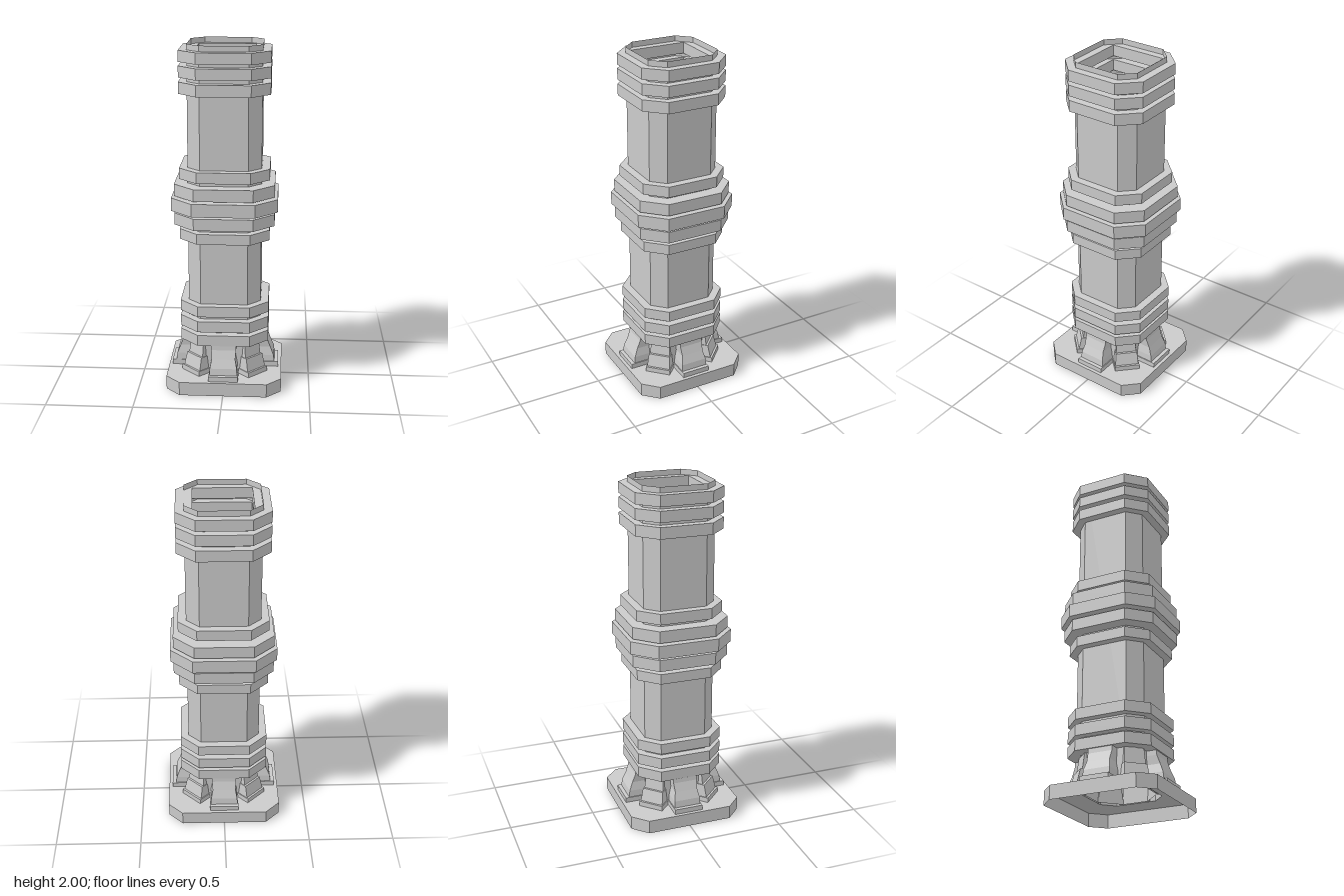
import * as THREE from 'three';

const mat = new THREE.MeshStandardMaterial({ color: 0xcccccc, flatShading: true, side: THREE.DoubleSide });

// chamfered square outline: half width h, half length of the flat sides f
const octagon = (h, f) => [[h, -f], [h, f], [f, h], [-f, h], [-h, f], [-h, -f], [-f, -h], [f, -h]];
const square = (h) => [[h, -h], [h, h], [-h, h], [-h, -h]];
const toVectors = (pts) => pts.map(([x, y]) => new THREE.Vector2(x, y));

// open skin through outlines stacked in y; sections are [y, outline]
function loft(sections) {
  const pos = [];
  for (let s = 0; s < sections.length - 1; s++) {
    const [y0, lo] = sections[s], [y1, hi] = sections[s + 1];
    for (let i = 0; i < lo.length; i++) {
      const j = (i + 1) % lo.length;
      const a = [lo[i][0], y0, lo[i][1]], b = [hi[i][0], y1, hi[i][1]];
      const c = [hi[j][0], y1, hi[j][1]], d = [lo[j][0], y0, lo[j][1]];
      pos.push(...a, ...b, ...c, ...a, ...c, ...d);
    }
  }
  const geo = new THREE.BufferGeometry();
  geo.setAttribute('position', new THREE.Float32BufferAttribute(pos, 3));
  geo.computeVertexNormals();
  return geo;
}

function holedShape(outer, inner) {
  const shape = new THREE.Shape(toVectors(outer));
  shape.holes.push(new THREE.Path(toVectors(inner)));
  return shape;
}

// foot block pointing along +x; rows are [y, reach, half width]
const footBlock = (rows) =>
  loft(rows.map(([y, d, w]) => [y, [[d, -w], [d, w], [0.18, w], [0.18, -w]]]));

export function createModel() {
  const group = new THREE.Group();
  const add = (name, geo) => {
    const mesh = new THREE.Mesh(geo, mat);
    mesh.name = name;
    group.add(mesh);
    return mesh;
  };

  // hollow base plate, open below
  add('basePlateSides', loft([[0, octagon(0.335, 0.252)], [0.08, octagon(0.335, 0.252)]]));
  const plateTop = new THREE.ShapeGeometry(holedShape(octagon(0.335, 0.252), octagon(0.19, 0.12)));
  plateTop.rotateX(-Math.PI / 2).translate(0, 0.08, 0);
  add('basePlateTop', plateTop);

  // thin walled tube: recessed neck above the plate, then the shaft
  add('footCore', loft([[0.08, octagon(0.19, 0.12)], [0.28, octagon(0.19, 0.12)]]));
  add('shaft', loft([[0.28, octagon(0.209, 0.135)], [2, octagon(0.209, 0.135)]]));

  // side buttresses and stepped corner feet
  const buttress = footBlock([[0.08, 0.315, 0.085], [0.11, 0.315, 0.085], [0.11, 0.293, 0.08],
    [0.15, 0.288, 0.078], [0.2, 0.268, 0.068], [0.25, 0.25, 0.072], [0.28, 0.247, 0.072]]);
  const cornerFoot = footBlock([[0.08, 0.28, 0.075], [0.11, 0.28, 0.075], [0.11, 0.268, 0.07],
    [0.185, 0.25, 0.064], [0.185, 0.238, 0.06], [0.28, 0.225, 0.055]]);
  for (let k = 0; k < 8; k++) {
    const mesh = k % 2 ? add('cornerFoot', cornerFoot) : add('buttress', buttress);
    mesh.rotation.y = k * Math.PI / 4;
  }

  // octagonal collars with square openings: [bottom, top, half width, half flat]
  const S = [0.255, 0.15], M = [0.284, 0.166], L = [0.301, 0.176];
  const collars = [
    [0.278, 0.342, ...S], [0.363, 0.428, ...S], [0.457, 0.52, ...S],
    [0.895, 0.955, ...S], [0.985, 1.053, ...M], [1.068, 1.143, ...L],
    [1.153, 1.222, ...M], [1.248, 1.311, ...S],
    [1.73, 1.795, ...S], [1.82, 1.883, ...S], [1.905, 1.968, ...S],
  ];
  for (const [y0, y1, h, f] of collars) {
    const geo = new THREE.ExtrudeGeometry(holedShape(octagon(h, f), square(0.165)),
      { depth: y1 - y0, bevelEnabled: false });
    geo.rotateX(-Math.PI / 2).translate(0, y0, 0);
    add('collar', geo);
  }
  return group;
}
